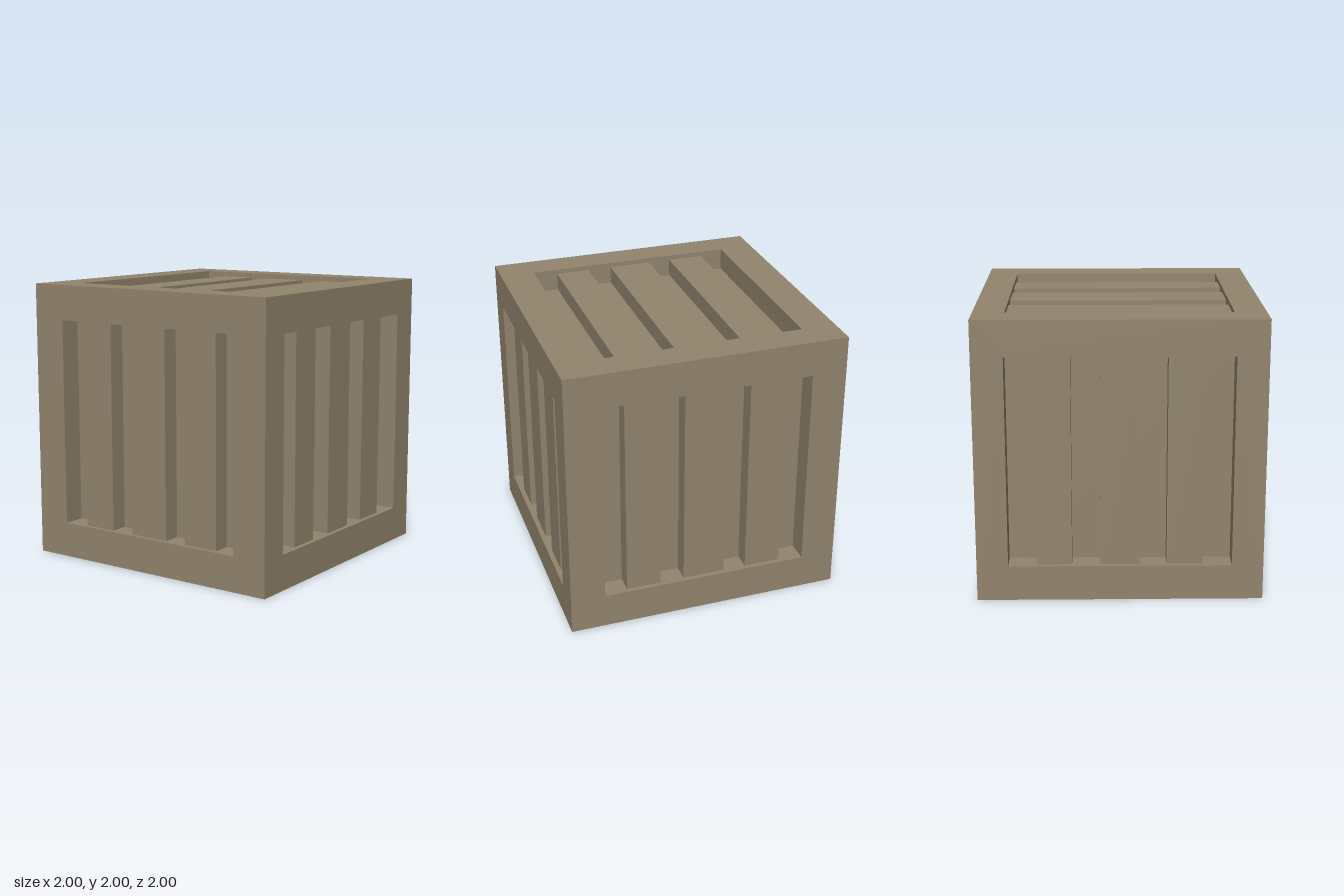
import * as THREE from 'three';

const RECESS = 0.16; // depth of the panels behind the frame face
const SLAT_INSET = 0.035; // depth of the slat faces

// Square frame with a rectangular opening, mitred at 45 degrees towards the back
function frameGeometry(halfWidth, halfHeight) {
  const shape = new THREE.Shape([[-1, -1], [1, -1], [1, 1], [-1, 1]].map(p => new THREE.Vector2(...p)));
  const w = halfWidth, h = halfHeight;
  shape.holes.push(new THREE.Path([[-w, -h], [-w, h], [w, h], [w, -h]].map(p => new THREE.Vector2(...p))));
  const geometry = new THREE.ExtrudeGeometry(shape, { depth: RECESS, bevelEnabled: false });
  geometry.translate(0, 0, 1 - RECESS);
  const pos = geometry.attributes.position;
  for (let i = 0; i < pos.count; i++) {
    if (Math.abs(pos.getX(i)) > 0.99 && pos.getZ(i) < 0.99) {
      pos.setXY(i, pos.getX(i) * (1 - RECESS), pos.getY(i) * (1 - RECESS));
    }
  }
  geometry.computeVertexNormals();
  return geometry;
}

export function createModel() {
  const wood = new THREE.MeshStandardMaterial({ color: 0x93856e });
  wood.name = 'wood';

  const crate = new THREE.Group();
  crate.name = 'crate';

  function add(parent, name, geometry) {
    const mesh = new THREE.Mesh(geometry, wood);
    mesh.name = name;
    parent.add(mesh);
    return mesh;
  }

  // One face of the crate: a frame and three slats running in the "along" direction
  function addSide(name, out, along, halfWidth, halfHeight, slats) {
    const side = new THREE.Group();
    side.name = name;
    add(side, name + 'Frame', frameGeometry(halfWidth, halfHeight));
    const thickness = RECESS - SLAT_INSET;
    slats.forEach(([from, to], i) => {
      const slat = add(side, name + 'Slat' + (i + 1),
        new THREE.BoxGeometry(to - from, halfHeight * 2, thickness));
      slat.position.set((from + to) / 2, 0, 1 - SLAT_INSET - thickness / 2);
    });
    const z = new THREE.Vector3(...out), y = new THREE.Vector3(...along);
    const x = new THREE.Vector3().crossVectors(y, z);
    side.quaternion.setFromRotationMatrix(new THREE.Matrix4().makeBasis(x, y, z));
    side.position.y = 1;
    crate.add(side);
  }

  // Recessed panels on all six sides
  const inner = 2 * (1 - RECESS);
  add(crate, 'innerPanels', new THREE.BoxGeometry(inner, inner, inner)).position.y = 1;

  const up = [0, 1, 0], across = [1, 0, 0];
  const frontSlats = [[-0.58, -0.335], [-0.14, 0.135], [0.325, 0.58]];
  const sideSlats = [[-0.58, -0.33], [-0.155, 0.15], [0.315, 0.58]];
  const topSlats = [[-0.585, -0.325], [-0.16, 0.15], [0.325, 0.57]];

  addSide('front', [0, 0, 1], up, 0.78, 0.748, frontSlats);
  addSide('back', [0, 0, -1], up, 0.78, 0.748, frontSlats);
  addSide('left', [1, 0, 0], up, 0.75, 0.748, sideSlats);
  addSide('right', [-1, 0, 0], up, 0.75, 0.748, sideSlats);
  addSide('top', [0, 1, 0], across, 0.752, 0.78, topSlats);
  addSide('bottom', [0, -1, 0], across, 0.752, 0.78, topSlats);

  return crate;
}
